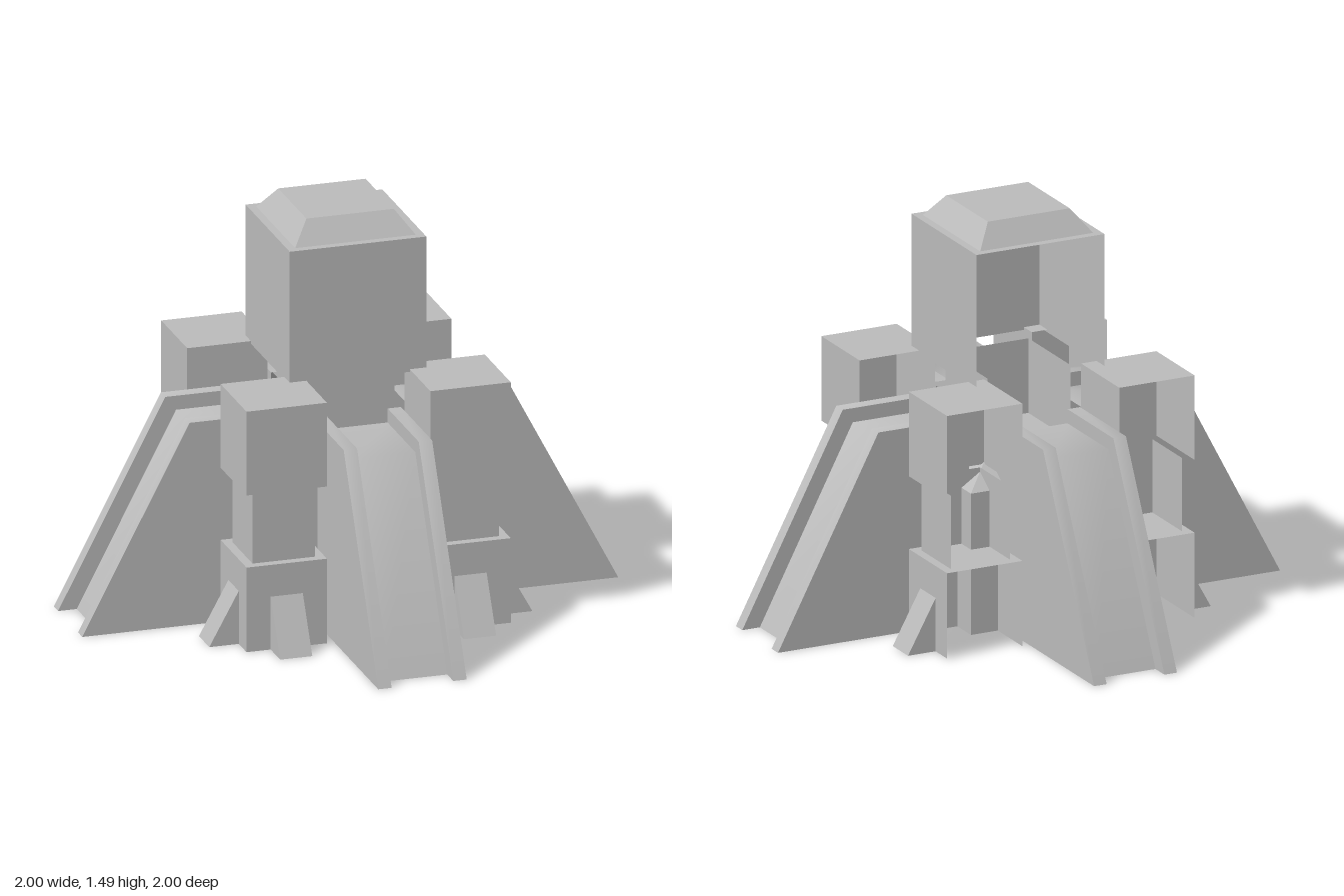
import * as THREE from 'three';

const stone = new THREE.MeshStandardMaterial({ color: 0xbababa, side: THREE.DoubleSide });
stone.name = 'grey stone';

function add(parent, name, geometry, x = 0, y = 0, z = 0) {
  const mesh = new THREE.Mesh(geometry, stone);
  mesh.name = name;
  mesh.position.set(x, y, z);
  parent.add(mesh);
  return mesh;
}

// Box standing on y = 0 with only the listed faces (0 +x, 1 -x, 2 +y, 3 -y, 4 +z, 5 -z)
function shell(width, height, depth, faces) {
  const g = new THREE.BoxGeometry(width, height, depth).translate(0, height / 2, 0);
  const all = Array.from(g.index.array);
  g.setIndex(faces.flatMap((f) => all.slice(f * 6, f * 6 + 6)));
  g.clearGroups();
  return g;
}

// Square frustum standing on y = 0
function frustum(topHalf, bottomHalf, height) {
  const g = new THREE.CylinderGeometry(topHalf * Math.SQRT2, bottomHalf * Math.SQRT2, height, 4)
    .rotateY(Math.PI / 4).translate(0, height / 2, 0).toNonIndexed();
  g.computeVertexNormals();
  return g;
}

// Smooth surface between two profiles, each a list of [x, y] at one z
function strip(a, za, b, zb) {
  const points = [], index = [];
  a.forEach(([x, y], i) => {
    points.push(x, y, za, b[i][0], b[i][1], zb);
    if (i) index.push(2 * i - 2, 2 * i, 2 * i - 1, 2 * i, 2 * i + 1, 2 * i - 1);
  });
  const g = new THREE.BufferGeometry();
  g.setAttribute('position', new THREE.Float32BufferAttribute(points, 3));
  g.setIndex(index);
  g.computeVertexNormals();
  return g;
}

// Sloping ramp running out along +x, with raised rails on both edges
function makeRamp() {
  const ramp = new THREE.Group();
  const inner = 0.24, zOut = 0.165, zIn = 0.115;
  const rail = [[inner, 0.765], [0.6, 0.765], [1, 0]];
  const floor = [[inner, 0.712], [0.56, 0.712], [0.93, 0]];
  const ground = rail.map(([x]) => [x, 0]);
  add(ramp, 'rampFloor', strip(floor, zIn, floor, -zIn));
  add(ramp, 'railTop', strip(rail, zOut, rail, zIn));
  add(ramp, 'railTop', strip(rail, -zIn, rail, -zOut));
  add(ramp, 'railInnerWall', strip(rail, zIn, floor, zIn));
  add(ramp, 'railInnerWall', strip(floor, -zIn, rail, -zIn));
  add(ramp, 'rampSide', strip(ground, zOut, rail, zOut));
  add(ramp, 'rampSide', strip(rail, -zOut, ground, -zOut));
  return ramp;
}

// Wedge buttress with its back at x = 0, sloping down along +x
function makeFoot() {
  const w = 0.06, h = 0.2, d = 0.11;
  const foot = new THREE.Group();
  const slope = [[0, h], [d, 0]], base = [[0, 0], [d, 0]];
  add(foot, 'footSlope', strip(slope, w, slope, -w));
  add(foot, 'footSide', strip(base, w, slope, w));
  add(foot, 'footSide', strip(slope, -w, base, -w));
  return foot;
}

export function createModel() {
  const model = new THREE.Group();
  model.name = 'temple';
  const walls = [0, 1, 4], wallsAndTop = [0, 1, 2, 4];

  // Central core, neck, upper chamber and roof
  add(model, 'core', shell(0.6, 0.53, 0.6, [0, 1, 4, 5]));
  add(model, 'coreShoulder', frustum(0.165, 0.3, 0.09), 0, 0.53, 0);
  add(model, 'neck', shell(0.33, 0.29, 0.33, walls), 0, 0.61, 0);
  add(model, 'upperChamber', shell(0.51, 0.505, 0.51, wallsAndTop), 0, 0.9, 0);
  add(model, 'roof', frustum(0.163, 0.225, 0.083), 0, 1.405, 0);

  // Four ramps
  for (let i = 0; i < 4; i++) {
    const ramp = makeRamp();
    ramp.name = 'ramp';
    ramp.rotation.y = i * Math.PI / 2;
    model.add(ramp);
  }

  // Four corner towers, each open at the back
  for (const sx of [1, -1]) {
    for (const sz of [1, -1]) {
      const tower = new THREE.Group();
      tower.name = 'cornerTower';
      tower.position.set(sx * 0.343, 0, sz * 0.343);
      add(tower, 'towerBase', shell(0.3, 0.32, 0.3, wallsAndTop));
      add(tower, 'towerShaft', shell(0.234, 0.275, 0.234, walls), 0, 0.32, 0);
      add(tower, 'towerCap', shell(0.3, 0.317, 0.3, wallsAndTop), 0, 0.593, 0);

      // Side buttress on every tower, front buttress on the front pair
      const side = makeFoot();
      side.name = 'sideButtress';
      side.position.x = sx * 0.15;
      side.rotation.y = sx > 0 ? 0 : Math.PI;
      tower.add(side);
      if (sz > 0) {
        const front = makeFoot();
        front.name = 'frontButtress';
        front.position.z = 0.15;
        front.rotation.y = -Math.PI / 2;
        tower.add(front);
      }
      model.add(tower);
    }
  }
  return model;
}
